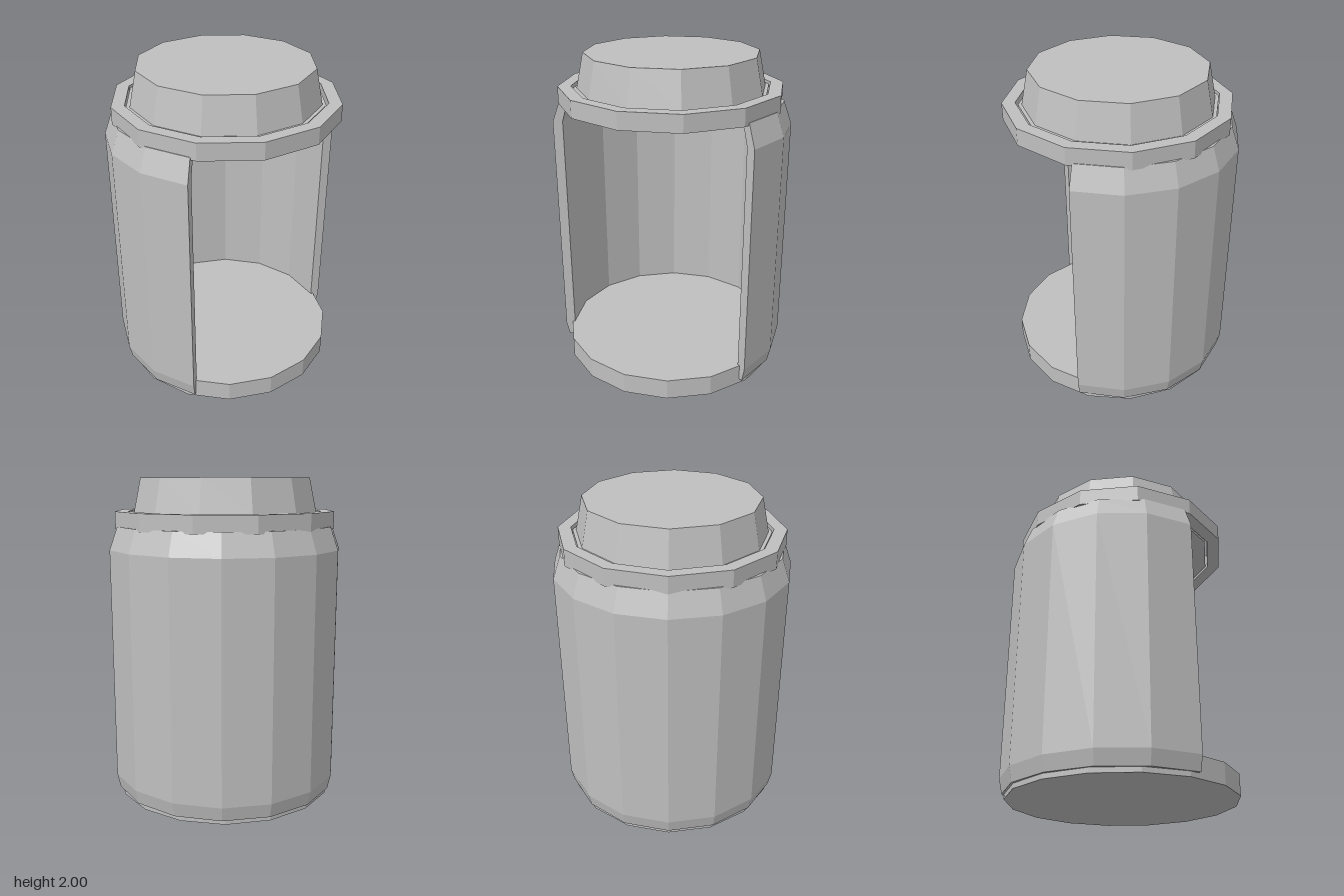
import * as THREE from 'three';

const CENTRE_Z = 0.02;
const rad = THREE.MathUtils.degToRad;

export function createModel() {
  const group = new THREE.Group();
  const grey = new THREE.MeshStandardMaterial({ color: 0xbfbfbf, side: THREE.DoubleSide });
  grey.name = 'grey';

  const add = (name, geometry, z = CENTRE_Z) => {
    const mesh = new THREE.Mesh(geometry, grey);
    mesh.name = name;
    mesh.position.z = z;
    group.add(mesh);
  };

  // Faceted turning of a [radius, y] profile, listed counter-clockwise
  const turn = (profile, sides, start = 0, sweep = Math.PI * 2) => {
    const points = profile.map(([r, y]) => new THREE.Vector2(r, y));
    const geometry = new THREE.LatheGeometry(points, sides, start, sweep).toNonIndexed();
    geometry.computeVertexNormals();
    return geometry;
  };

  // Base disc
  add('base', turn([[0, 0], [0.7, 0], [0.7, 0.13], [0, 0.13]], 16));

  // Curved wall, open at the front, with sloping shoulder and bottom chamfer
  const wall = [
    [0.675, 0.03], [0.715, 0.03], [0.735, 0.12], [0.735, 1.57],
    [0.685, 1.71], [0.635, 1.71], [0.675, 1.57], [0.675, 0.03],
  ];
  const start = rad(63), sweep = rad(234);
  add('wall', turn(wall, 10, start, sweep));

  // Flat ends of the wall on both sides of the opening
  const section = new THREE.Shape(wall.map(([r, y]) => new THREE.Vector2(r, y)));
  [['wallEndLeft', start], ['wallEndRight', start + sweep]].forEach(([name, angle]) => {
    add(name, new THREE.ShapeGeometry(section).rotateY(angle - Math.PI / 2));
  });

  // Collar around the lid
  add('collar', turn([[0.61, 1.695], [0.69, 1.695], [0.69, 1.8], [0.61, 1.8], [0.61, 1.695]], 12));

  // Tapered lid set inside the collar
  add('lid', turn([
    [0, 1.695], [0.6, 1.695], [0.6, 1.785], [0.578, 1.785], [0.533, 2], [0, 2],
  ], 12), 0.015);

  return group;
}
